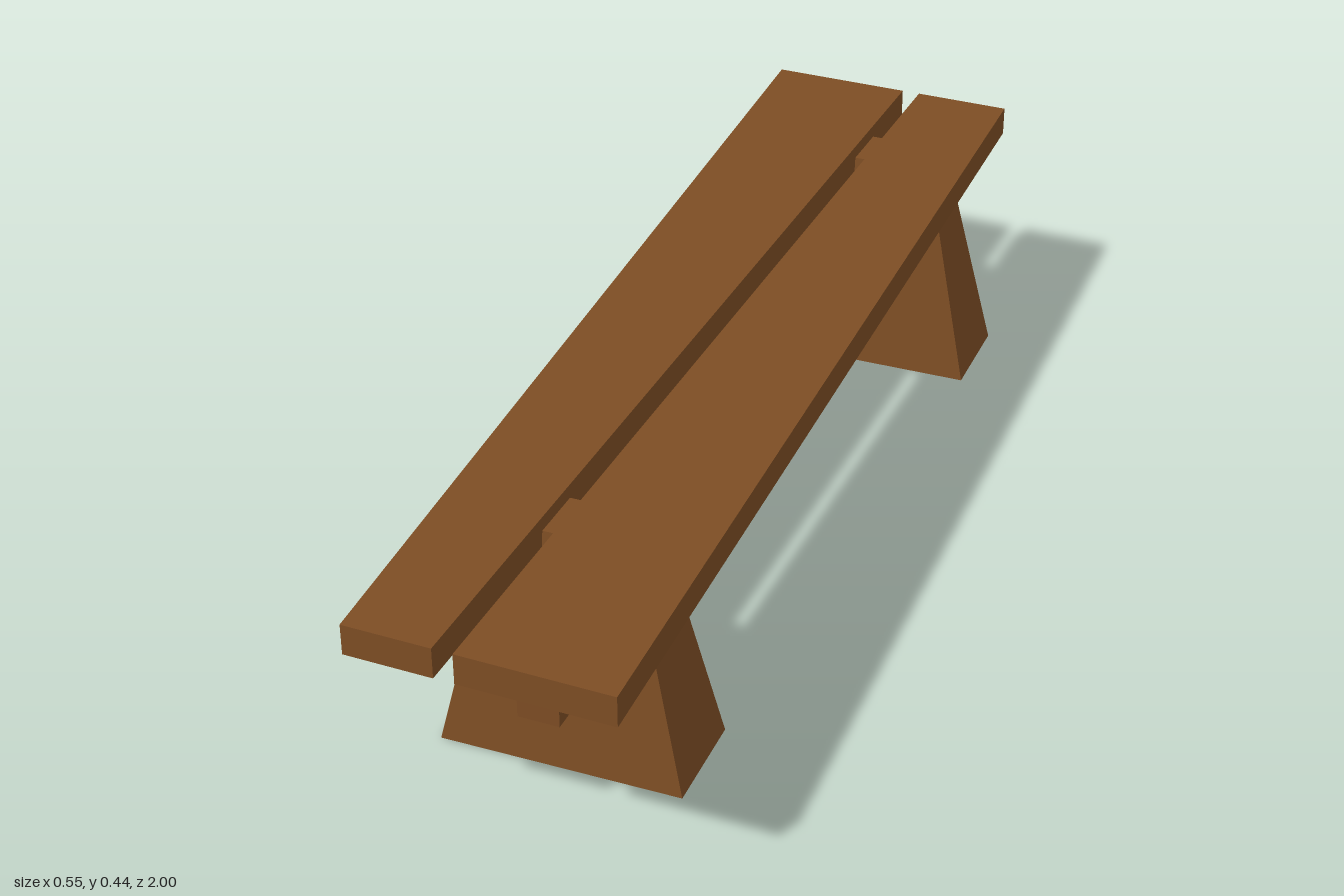
import * as THREE from 'three';

export function createModel() {
  const group = new THREE.Group();
  const wood = new THREE.MeshStandardMaterial({ color: 0x7d4d24 });
  wood.name = 'brown wood';

  const add = (name, geometry) => {
    const mesh = new THREE.Mesh(geometry, wood);
    mesh.name = name;
    group.add(mesh);
    return mesh;
  };

  // Seat planks: skewed outlines in x/z, extruded downwards
  const top = 0.443, thickness = 0.053;
  const plank = (name, outline) => {
    const shape = new THREE.Shape(outline.map(([x, z]) => new THREE.Vector2(x, z)));
    const geometry = new THREE.ExtrudeGeometry(shape, { depth: thickness, bevelEnabled: false });
    geometry.rotateX(Math.PI / 2).translate(0, top, 0);
    add(name, geometry);
  };
  plank('rightSeatPlank', [[-0.275, -1], [-0.017, -1], [-0.017, 1], [-0.165, 1]]);
  plank('leftSeatPlank', [[0.017, -1], [0.194, -1], [0.273, 1], [0.017, 1]]);

  // Legs: blocks tapering upwards into the seat
  const legHeight = 0.419;
  const leg = (name, z) => {
    const geometry = new THREE.BoxGeometry(0.419, legHeight, 0.186);
    const p = geometry.attributes.position;
    for (let i = 0; i < p.count; i++) {
      if (p.getY(i) > 0) p.setXYZ(i, p.getX(i) * 0.543, p.getY(i), p.getZ(i) * 0.53);
    }
    geometry.computeVertexNormals();
    const mesh = add(name, geometry);
    mesh.position.set(0.017, legHeight / 2, z);
    mesh.rotation.y = 0.026;
  };
  leg('frontLeg', 0.59);
  leg('backLeg', -0.782);

  // Stretcher bar passing through both legs
  const bar = add('stretcher', new THREE.BoxGeometry(0.072, 0.044, 1.67));
  bar.position.set(0.016, 0.17, -0.077);
  bar.rotation.y = 0.009;

  return group;
}
